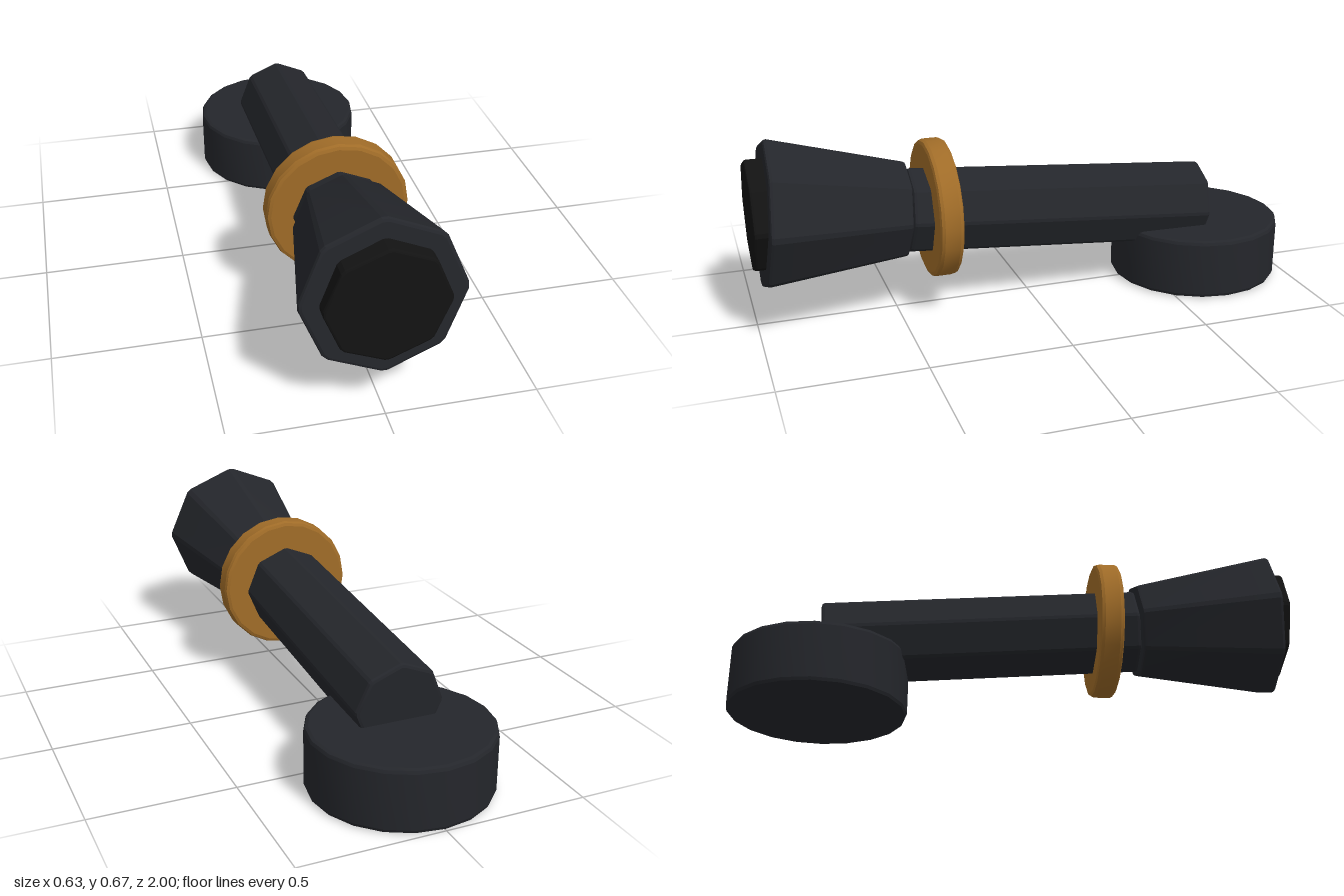
import * as THREE from 'three';
import { toCreasedNormals } from 'three/addons/utils/BufferGeometryUtils.js';

const paint = (color) => new THREE.MeshStandardMaterial({ color });

// Solid of revolution about y with bevelled rims; r0 is the lower radius, r1 the upper
function bevelledSolid(r0, r1, length, bevel, sides) {
  const h = length / 2, b = bevel, m = bevel * 0.29;
  const profile = [
    [0, -h], [r0 - b, -h], [r0 - m, -h + m], [r0, -h + b],
    [r1, h - b], [r1 - m, h - m], [r1 - b, h], [0, h],
  ].map(([x, y]) => new THREE.Vector2(x, y));

  // Octagons get narrow chamfers along their corners: paired columns around each one
  const octagon = sides === 8;
  const geometry = new THREE.LatheGeometry(profile, octagon ? 16 : sides);
  if (octagon) {
    const p = geometry.attributes.position;
    for (let i = 0; i < p.count; i++) {
      const column = Math.floor(i / profile.length);
      const angle = Math.floor(column / 2) * Math.PI / 4 + (column % 2 ? 0.04 : -0.04);
      const r = Math.hypot(p.getX(i), p.getZ(i));
      p.setX(i, r * Math.sin(angle));
      p.setZ(i, r * Math.cos(angle));
    }
  }
  return toCreasedNormals(geometry, 0.35);
}

export function createModel() {
  const model = new THREE.Group();
  model.name = 'wallSpout';
  const body = paint(0x24262b), brass = paint(0xa06c28), dark = paint(0x131313);

  function add(name, geometry, material, y, z, rotation = 0) {
    const mesh = new THREE.Mesh(geometry, material);
    mesh.name = name;
    mesh.position.set(0, y, z);
    mesh.rotation.x = rotation;
    model.add(mesh);
  }

  const forward = Math.PI / 2;               // lays the axis along +z
  const raised = forward - 0.082;            // same, with the front lifted slightly

  // Round base
  add('base', bevelledSolid(0.316, 0.316, 0.223, 0.015, 20), body, 0.1125, -0.684);
  // Octagonal tube
  add('tube', bevelledSolid(0.156, 0.156, 1.137, 0.012, 8), body, 0.32, -0.11, raised);
  // Brass collar
  add('collar', bevelledSolid(0.248, 0.248, 0.085, 0.015, 20), brass, 0.367, 0.343, forward);
  // Flared end and its dark face plate
  add('flare', bevelledSolid(0.177, 0.265, 0.494, 0.012, 8), body, 0.391, 0.708, raised);
  add('facePlate', bevelledSolid(0.2, 0.2, 0.08, 0.008, 8), dark, 0.41, 0.96, forward);

  return model;
}
